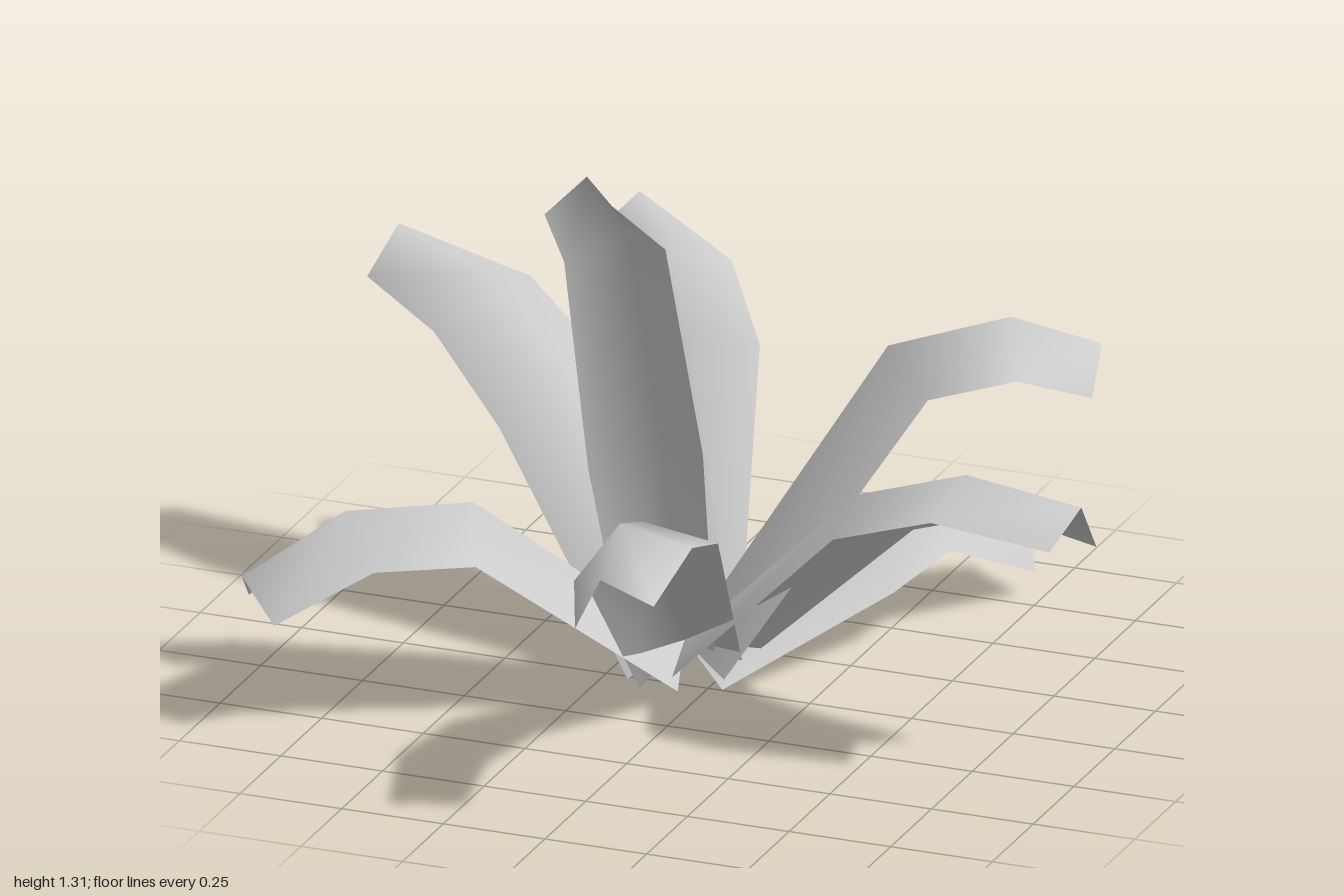
import * as THREE from 'three';

// Half width of the blade and depth of its centre fold at each of the four stations
const HALF_WIDTH = [0.13, 0.17, 0.15, 0.1];
const FOLD = [0.09, 0.1, 0.1, 0.1];

// All midribs start at the hub
const HUB = [-0.07, 0.1, -0.03];

// Each leaf: its relative width, the direction across the blade, and points along the raised midrib
const LEAVES = [
  { name: 'lowBackLeaf', width: 0.95, side: [-0.8, 0, -0.6], rib: [[0.16, 0.24, -0.45], [0.27, 0.29, -0.65], [0.43, 0.15, -0.9]] },
  { name: 'backLeftLeaf', width: 1, side: [-0.48, 0, -0.87], rib: [[0.33, 0.79, -0.28], [0.58, 0.85, -0.41], [0.76, 0.77, -0.52]] },
  { name: 'leftLeaf', width: 1, side: [0.2, -0.25, -0.95], rib: [[0.41, 0.58, 0.11], [0.7, 0.69, 0.16], [0.99, 0.66, 0.18]] },
  { name: 'frontLeaf', width: 0.95, side: [0.92, 0.32, -0.28], rib: [[0, 0.56, 0.4], [0.04, 0.65, 0.64], [0.1, 0.62, 0.91]] },
  { name: 'frontRightLeaf', width: 1, side: [0.62, 0, 0.78], rib: [[-0.47, 0.49, 0.27], [-0.72, 0.49, 0.43], [-0.91, 0.36, 0.59]] },
  { name: 'rightLeaf', width: 1, side: [-0.45, -0.2, 0.88], rib: [[-0.45, 0.6, -0.27], [-0.69, 0.78, -0.37], [-0.95, 0.83, -0.47]] },
  { name: 'backRightLeaf', width: 0.95, side: [-0.95, 0, 0.35], rib: [[-0.17, 0.73, -0.3], [-0.29, 0.91, -0.48], [-0.43, 0.92, -0.65]] },
  { name: 'tallLeaf', width: 0.86, side: [0.96, 0.26, 0], rib: [[-0.11, 0.6, 0.02], [-0.15, 1.15, 0.12], [-0.21, 1.31, 0.22]] },
];

// Folded blade: edge, midrib and edge at every station, joined in strips
function leafGeometry({ width, side, rib }) {
  const across = new THREE.Vector3(...side).normalize();
  const spine = [HUB, ...rib].map((p) => new THREE.Vector3(...p));
  const positions = [];
  const index = [];
  spine.forEach((p, i) => {
    const along = spine[Math.min(i + 1, 3)].clone().sub(spine[Math.max(i - 1, 0)]);
    const up = along.cross(across).normalize();
    const edge = (s) => p.clone().addScaledVector(across, s * width * HALF_WIDTH[i]).addScaledVector(up, -FOLD[i]);
    for (const v of [edge(-1), p, edge(1)]) positions.push(v.x, Math.max(v.y, 0), v.z);
    if (i === 3) return;
    for (let j = 0; j < 2; j++) {
      const a = i * 3 + j;
      index.push(a, a + 1, a + 4, a, a + 4, a + 3);
    }
  });
  const geometry = new THREE.BufferGeometry();
  geometry.setAttribute('position', new THREE.Float32BufferAttribute(positions, 3));
  geometry.setIndex(index);
  geometry.computeVertexNormals();
  return geometry;
}

export function createModel() {
  const group = new THREE.Group();
  group.name = 'leafyPlant';
  const leafGrey = new THREE.MeshStandardMaterial({ color: 0xcccccc, side: THREE.DoubleSide });
  leafGrey.name = 'leafGrey';
  for (const leaf of LEAVES) {
    const mesh = new THREE.Mesh(leafGeometry(leaf), leafGrey);
    mesh.name = leaf.name;
    group.add(mesh);
  }
  return group;
}
